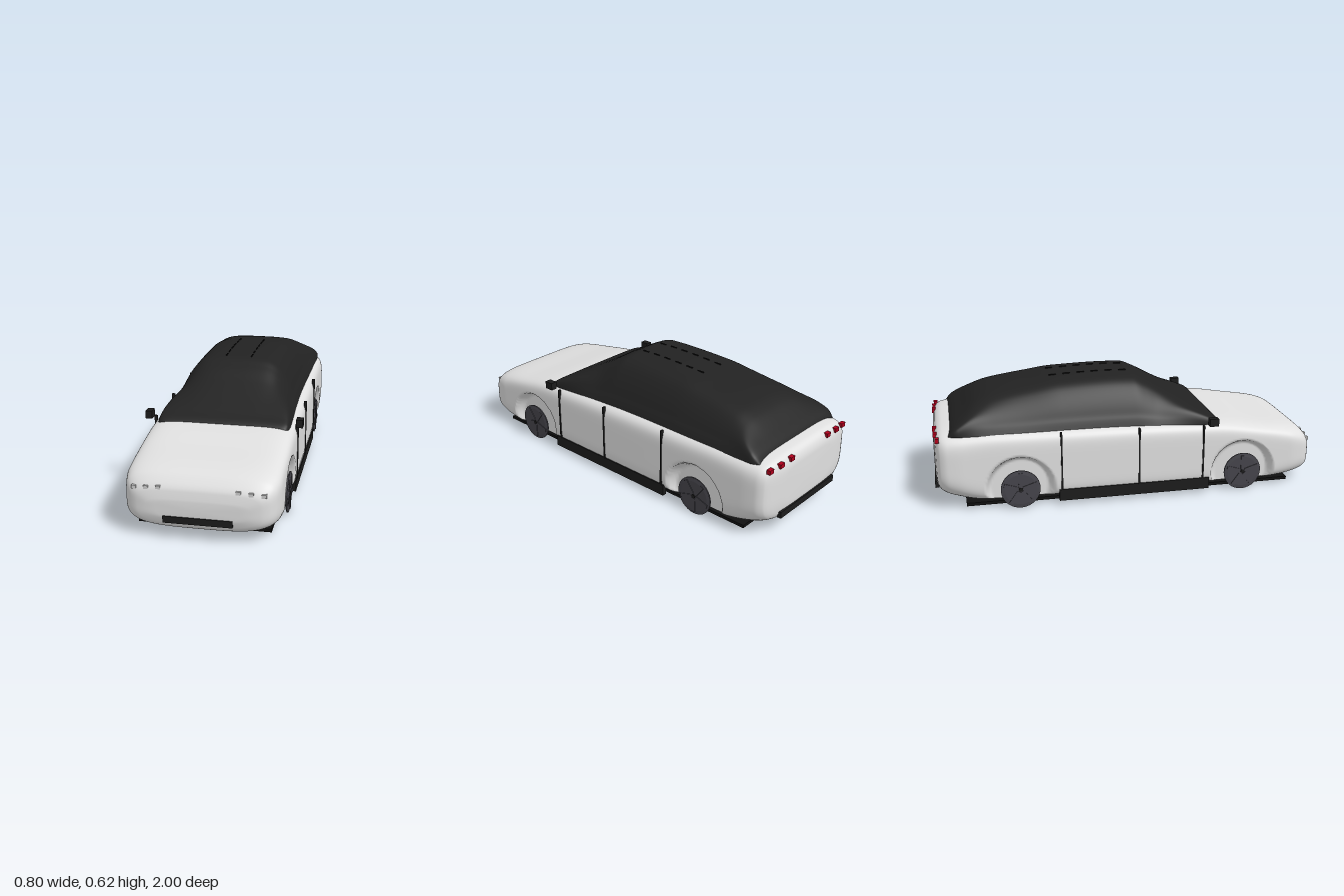
import * as THREE from 'three';

const mat = (name, color, side = THREE.FrontSide) => {
  const m = new THREE.MeshStandardMaterial({ color, side });
  m.name = name;
  return m;
};

// Smooth monotone interpolation through [z, value] pairs listed from front to back
function track(pts) {
  const n = pts.length;
  const sec = (i) => (pts[i + 1][1] - pts[i][1]) / (pts[i + 1][0] - pts[i][0]);
  const slope = (i) => {
    if (i === 0) return sec(0);
    if (i === n - 1) return sec(n - 2);
    const a = sec(i - 1), b = sec(i);
    return a * b <= 0 ? 0 : (2 * a * b) / (a + b);
  };
  return (z) => {
    if (z >= pts[0][0]) return pts[0][1];
    if (z <= pts[n - 1][0]) return pts[n - 1][1];
    let i = 0;
    while (z < pts[i + 1][0]) i++;
    const h = pts[i + 1][0] - pts[i][0], t = (z - pts[i][0]) / h;
    const t2 = t * t, t3 = t2 * t;
    return (2 * t3 - 3 * t2 + 1) * pts[i][1] + (t3 - 2 * t2 + t) * h * slope(i)
      + (3 * t2 - 2 * t3) * pts[i + 1][1] + (t3 - t2) * h * slope(i + 1);
  };
}

// Skin over rings of points, ordered front to back
function loft(rings, closed) {
  const n = rings[0].length, index = [];
  for (let i = 0; i < rings.length - 1; i++) {
    for (let j = 0; j < (closed ? n : n - 1); j++) {
      const k = (j + 1) % n;
      const a = i * n + j, b = i * n + k, c = a + n, d = b + n;
      index.push(a, c, b, b, c, d);
    }
  }
  const g = new THREE.BufferGeometry();
  g.setAttribute('position', new THREE.Float32BufferAttribute(rings.flat(2), 3));
  g.setIndex(index);
  g.computeVertexNormals();
  return g;
}

const bodyTop = track([[0.992, 0.2], [0.985, 0.235], [0.96, 0.27], [0.92, 0.3], [0.85, 0.32], [0.7, 0.342],
  [0.46, 0.378], [0, 0.395], [-0.5, 0.403], [-0.9, 0.41], [-0.95, 0.405], [-0.98, 0.388], [-0.992, 0.36]]);
const bodyBottom = track([[0.992, 0.1], [0.98, 0.065], [0.95, 0.045], [0.9, 0.035], [0.8, 0.03],
  [-0.75, 0.03], [-0.9, 0.045], [-0.96, 0.065], [-0.985, 0.09], [-0.992, 0.12]]);
const bodyWidth = track([[0.992, 0.24], [0.985, 0.28], [0.96, 0.325], [0.92, 0.35], [0.85, 0.362], [0, 0.367],
  [-0.85, 0.364], [-0.93, 0.357], [-0.97, 0.335], [-0.985, 0.29], [-0.992, 0.24]]);
const roofTop = track([[0.475, 0.36], [0.46, 0.383], [0.4, 0.415], [0.3, 0.468], [0.2, 0.523], [0.1, 0.58],
  [0.03, 0.608], [-0.1, 0.612], [-0.35, 0.605], [-0.5, 0.585], [-0.7, 0.55], [-0.77, 0.522],
  [-0.85, 0.462], [-0.905, 0.415], [-0.92, 0.39]]);
const roofWidth = track([[0.475, 0.31], [0.45, 0.33], [0.4, 0.334], [-0.1, 0.326], [-0.7, 0.333],
  [-0.88, 0.334], [-0.92, 0.315]]);
const WHEEL_Z = [0.59, -0.58], WHEEL_Y = 0.1;

// Rounded-box cross-sections with a dished recess around each wheel
function bodyGeometry() {
  const rings = [], side = 36, stations = 190;
  for (let i = 0; i <= stations; i++) {
    const u = 1 - (2 * i) / stations;
    const z = 0.992 * (0.65 * u + 0.35 * Math.sin((u * Math.PI) / 2));
    const w = bodyWidth(z), top = bodyTop(z), bot = bodyBottom(z);
    const mid = (top + bot) / 2, h = (top - bot) / 2, ring = [];
    for (let j = 0; j < side * 4; j++) {
      const s = (2 * (j % side)) / side - 1;
      const [dx, dy] = [[1, s], [-s, 1], [-1, -s], [s, -1]][Math.floor(j / side)];
      const n = 7 - (dy < 0 ? 3.5 : 2) * THREE.MathUtils.smoothstep(Math.abs(z), 0.65, 0.97);
      const k = Math.pow(Math.abs(dx) ** n + Math.abs(dy) ** n, -1 / n);
      let x = dx * k * w;
      const y = mid + dy * k * h;
      for (const wz of WHEEL_Z) {
        const r = Math.hypot(z - wz, y - WHEEL_Y);
        const depth = 1 - THREE.MathUtils.smoothstep(r, 0.145, 0.182);
        const limit = 0.37 - 0.055 * depth;
        if (depth > 0 && Math.abs(x) > limit) x = Math.sign(x) * limit;
      }
      ring.push([x, y, z]);
    }
    rings.push(ring);
  }
  // Nose and tail faces
  const shrink = (ring, f, z) => {
    const cy = ring.reduce((a, p) => a + p[1], 0) / ring.length;
    return ring.map((p) => [p[0] * f, cy + (p[1] - cy) * f, z]);
  };
  const first = rings[0], last = rings[rings.length - 1];
  rings.unshift(shrink(first, 0, 0.995), shrink(first, 0.8, 0.995));
  rings.push(shrink(last, 0.8, -0.995), shrink(last, 0, -0.995));
  return loft(rings, true);
}

// Glass canopy: boxy section at its low ends, domed in the middle
function canopyGeometry() {
  const dome = [[1, 0], [0.95, 0.17], [0.91, 0.27], [0.86, 0.42], [0.8, 0.57], [0.72, 0.73], [0.62, 0.87], [0.48, 0.96], [0.25, 0.995], [0, 1]];
  const box = [[1, 0], [0.995, 0.3], [0.985, 0.55], [0.965, 0.75], [0.92, 0.88], [0.82, 0.94], [0.66, 0.97], [0.48, 0.99], [0.25, 1], [0, 1]];
  const rings = [];
  for (let i = 0; i <= 110; i++) {
    const z = 0.475 - (1.395 * i) / 110;
    const base = bodyTop(z) - 0.022, h = roofTop(z) - base, w = roofWidth(z);
    const k = THREE.MathUtils.smoothstep(h, 0.03, 0.2);
    const half = dome.map((p, j) => new THREE.Vector2(
      w * THREE.MathUtils.lerp(box[j][0], p[0], k),
      base + h * THREE.MathUtils.lerp(box[j][1], p[1], k)));
    const full = half.concat(half.slice(0, -1).reverse().map((p) => new THREE.Vector2(-p.x, p.y)));
    rings.push(new THREE.SplineCurve(full).getPoints(54).map((p) => [p.x, p.y, z]));
  }
  return loft(rings, false);
}

export function createModel() {
  const car = new THREE.Group();
  car.name = 'car';
  const paint = mat('silver paint', 0xe0e0e0);
  const glass = mat('dark glass', 0x222222, THREE.DoubleSide);
  const trim = mat('black trim', 0x1c1c1c);
  const floor = mat('underfloor black', 0x111111);
  const wheelGrey = mat('wheel grey', 0x45444b);
  const lamp = mat('headlight grey', 0xd0d0d0);
  const red = mat('tail light red', 0xb0001c);

  const add = (name, geometry, material, x = 0, y = 0, z = 0, parent = car) => {
    const m = new THREE.Mesh(geometry, material);
    m.name = name;
    m.position.set(x, y, z);
    parent.add(m);
    return m;
  };
  const box = (name, material, w, h, d, x, y, z, parent) =>
    add(name, new THREE.BoxGeometry(w, h, d), material, x, y, z, parent);

  add('body', bodyGeometry(), paint);
  add('canopy', canopyGeometry(), glass);
  box('floorPlate', floor, 0.63, 0.016, 1.71, 0, 0.02, 0.005);
  box('frontGrille', trim, 0.32, 0.032, 0.02, 0, 0.101, 0.99);
  box('rearBumperStrip', trim, 0.46, 0.034, 0.02, 0, 0.108, -0.99);

  // Wheel: disc thinning towards the rim, with raised spokes
  const disc = new THREE.LatheGeometry([[0, -0.01], [0.075, -0.01], [0.1, -0.003], [0.1, 0.003], [0.08, 0.006], [0, 0.006]]
    .map(([r, y]) => new THREE.Vector2(r, y)), 32).toNonIndexed();
  disc.computeVertexNormals();

  for (const s of [1, -1]) {
    const label = s > 0 ? 'left' : 'right';
    WHEEL_Z.forEach((z, i) => {
      const wheel = new THREE.Group();
      wheel.name = label + (i ? 'RearWheel' : 'FrontWheel');
      wheel.position.set(s * 0.356, WHEEL_Y, z);
      wheel.rotation.z = -s * Math.PI / 2;
      car.add(wheel);
      add('disc', disc, wheelGrey, 0, 0, 0, wheel);
      add('hub', new THREE.CylinderGeometry(0.01, 0.01, 0.006, 16), trim, 0, 0.008, 0, wheel);
      for (let k = 0; k < 5; k++) {
        const a = (k * Math.PI * 2) / 5;
        const spoke = box('spoke', wheelGrey, 0.075, 0.006, 0.02, Math.cos(a) * 0.05, 0.006, -Math.sin(a) * 0.05, wheel);
        spoke.rotation.y = a;
      }
    });

    box(label + 'Sill', trim, 0.025, 0.06, 0.79, s * 0.355, 0.052, 0.01);
    box(label + 'Mirror', trim, 0.034, 0.04, 0.048, s * 0.381, 0.394, 0.415);

    // Door gaps
    for (const z of [0.37, 0.03, -0.37]) {
      const top = bodyTop(z) - 0.012;
      box(label + 'DoorGap', trim, 0.016, top - 0.08, 0.008, s * 0.363, (top + 0.08) / 2, z);
    }

    // Small lamps in rows of three
    [[0.297, 0.237, 0.966], [0.24, 0.242, 0.972], [0.183, 0.246, 0.973]].forEach(([x, y, z]) =>
      box(label + 'Headlight', lamp, 0.022, 0.016, 0.02, s * x, y, z));
    [[0.308, 0.373, -0.976], [0.235, 0.377, -0.984], [0.155, 0.381, -0.986]].forEach(([x, y, z]) =>
      box(label + 'TailLight', red, 0.03, 0.022, 0.02, s * x, y, z));

    // Dashed roof ribs
    for (let k = 0; k < 6; k++) {
      const z = 0.0 - k * 0.074;
      box(label + 'RoofRib', floor, 0.005, 0.01, 0.038, s * 0.068, roofTop(z) - 0.001, z);
    }
  }
  return car;
}
